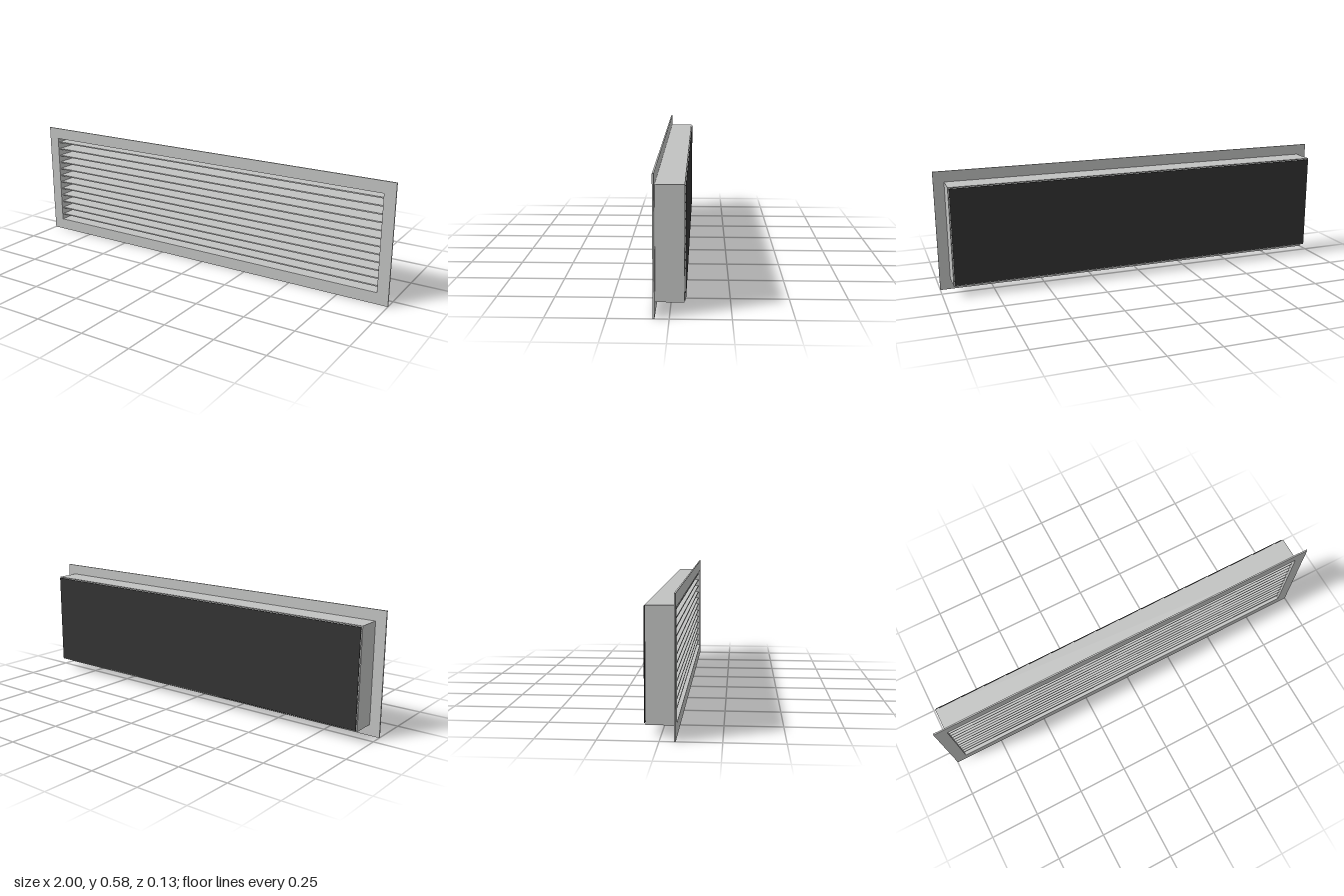
import * as THREE from 'three';

const CY = 0.2925; // mid height of the grille

// Rectangular ring extruded along z from z0 to z1
function frame(outerW, outerH, innerW, innerH, z0, z1) {
  const rect = (target, w, h) => target
    .moveTo(-w / 2, -h / 2).lineTo(w / 2, -h / 2)
    .lineTo(w / 2, h / 2).lineTo(-w / 2, h / 2).closePath();
  const shape = rect(new THREE.Shape(), outerW, outerH);
  shape.holes.push(rect(new THREE.Path(), innerW, innerH));
  const geometry = new THREE.ExtrudeGeometry(shape, { depth: z1 - z0, bevelEnabled: false });
  return geometry.translate(0, CY, z0);
}

export function createModel() {
  const group = new THREE.Group();
  const metal = new THREE.MeshStandardMaterial({ color: 0xc1c2c1 });
  metal.name = 'greyMetal';
  const dark = new THREE.MeshStandardMaterial({ color: 0x333333 });
  dark.name = 'darkBacking';

  const add = (name, geometry, material, parent = group) => {
    const mesh = new THREE.Mesh(geometry, material);
    mesh.name = name;
    parent.add(mesh);
    return mesh;
  };

  // Flat border and the box-like collar behind it
  add('flange', frame(2, 0.585, 1.888, 0.471, 0.0585, 0.0655), metal);
  add('collar', frame(1.898, 0.481, 1.888, 0.471, -0.06, 0.0585), metal);

  // Dark plate just behind the collar
  add('backPlate', new THREE.BoxGeometry(1.888, 0.47, 0.0025).translate(0, CY, -0.06425), dark);

  // Stack of level blades inside the collar
  const blades = new THREE.Group();
  blades.name = 'blades';
  group.add(blades);
  const count = 12, pitch = 0.0382;
  const bladeGeometry = new THREE.BoxGeometry(1.888, 0.006, 0.11);
  for (let i = 0; i < count; i++) {
    const blade = add('blade', bladeGeometry, metal, blades);
    blade.position.set(0, CY + 0.002 + (i - (count - 1) / 2) * pitch, 0);
  }
  return group;
}
